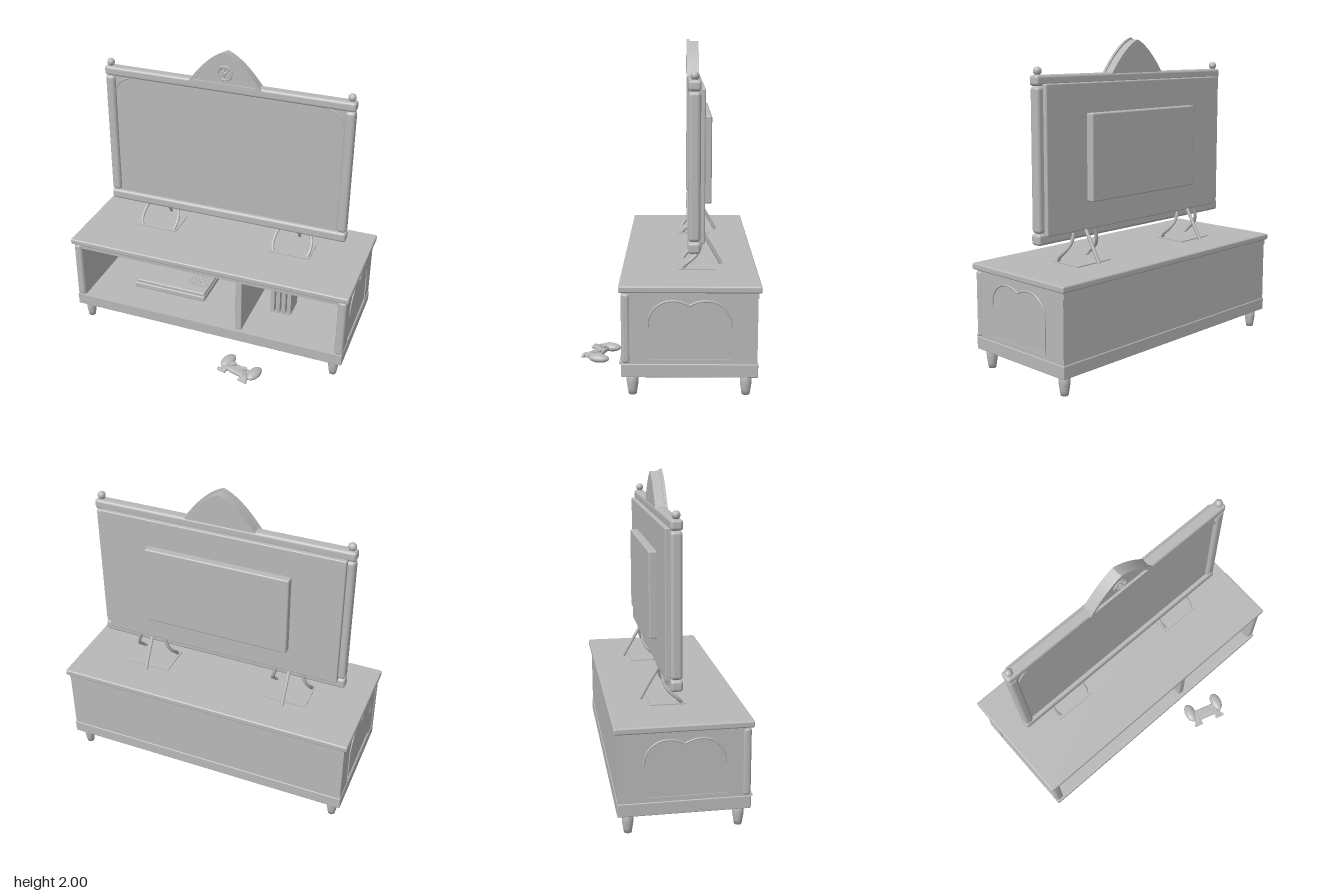
import * as THREE from 'three';
import { RoundedBoxGeometry } from 'three/addons/geometries/RoundedBoxGeometry.js';

const grey = new THREE.MeshStandardMaterial({ color: 0xb8b8b8 });
grey.name = 'grey';

const V = (x, y, z) => new THREE.Vector3(x, y, z);

function add(parent, name, geometry, x = 0, y = 0, z = 0) {
  const mesh = new THREE.Mesh(geometry, grey);
  mesh.name = name;
  mesh.position.set(x, y, z);
  parent.add(mesh);
  return mesh;
}

// Box given by its limits on each axis, optionally with rounded edges
function box(parent, name, [x0, x1], [y0, y1], [z0, z1], r = 0) {
  const s = [x1 - x0, y1 - y0, z1 - z0];
  const g = r ? new RoundedBoxGeometry(...s, 3, r) : new THREE.BoxGeometry(...s);
  return add(parent, name, g, (x0 + x1) / 2, (y0 + y1) / 2, (z0 + z1) / 2);
}

function tube(parent, name, points, r, segments = 24) {
  return add(parent, name, new THREE.TubeGeometry(new THREE.CatmullRomCurve3(points), segments, r, 8));
}

function lathe(points) {
  return new THREE.LatheGeometry(points.map(p => new THREE.Vector2(...p)), 20);
}

function group(parent, name) {
  const g = new THREE.Group();
  g.name = name;
  parent.add(g);
  return g;
}

function buildCabinet(root) {
  const c = group(root, 'cabinet');
  box(c, 'cabinetTop', [-0.97, 0.97], [0.62, 0.66], [-0.54, 0.265], 0.01);
  box(c, 'cabinetCeiling', [-0.95, 0.95], [0.585, 0.62], [-0.525, 0.24]);
  box(c, 'cabinetBase', [-0.955, 0.955], [0.12, 0.2], [-0.525, 0.252], 0.006);
  box(c, 'baseTrim', [-0.95, 0.95], [0.196, 0.206], [0.24, 0.262]);
  box(c, 'cabinetBack', [-0.95, 0.95], [0.195, 0.62], [-0.52, -0.5]);
  box(c, 'divider', [0.215, 0.26], [0.2, 0.585], [-0.5, 0.235], 0.006);

  const leg = lathe([[0, 0], [0.023, 0], [0.028, 0.03], [0.034, 0.07], [0.034, 0.1], [0.026, 0.122], [0, 0.122]]);
  for (const s of [-1, 1]) {
    const lim = (a, b) => [Math.min(s * a, s * b), Math.max(s * a, s * b)];
    box(c, 'sidePanel', lim(0.9, 0.95), [0.19, 0.62], [-0.52, 0.235]);
    box(c, 'frontPilaster', lim(0.9, 0.957), [0.2, 0.615], [0.2, 0.252], 0.02);
    for (const z of [0.19, -0.46]) add(c, 'foot', leg, s * 0.89, 0, z);

    // Double arch moulding on the side
    const x = s * 0.951;
    const half = d => [[0.235, 0.42], [0.228, 0.475], [0.195, 0.53], [0.14, 0.564], [0.08, 0.57], [0.03, 0.558], [0, 0.543]]
      .map(([z, y]) => V(x, y, -0.135 + d * z));
    tube(c, 'sideArch', half(1), 0.006);
    tube(c, 'sideArch', half(-1), 0.006);
    box(c, 'sideMoulding', lim(0.945, 0.956), [0.225, 0.42], [-0.374, -0.368]);
    box(c, 'sideMoulding', lim(0.945, 0.956), [0.222, 0.23], [-0.374, 0.105]);
  }
}

function buildShelfItems(root) {
  // Game console with a stepped lid and vents
  const k = group(root, 'console');
  box(k, 'consoleBody', [-0.615, -0.085], [0.2, 0.24], [-0.3, 0.03], 0.008);
  box(k, 'consoleLid', [-0.6, -0.09], [0.235, 0.263], [-0.295, 0.02], 0.008);
  box(k, 'discSlot', [-0.55, -0.4], [0.215, 0.22], [0.028, 0.034]);
  for (let i = 0; i < 6; i++) for (let j = 0; j < 9; j++) {
    const x = -0.25 + i * 0.025, z = -0.27 + j * 0.025;
    box(k, 'vent', [x, x + 0.014], [0.262, 0.267], [z, z + 0.014]);
  }
  // Upright cases
  const cases = group(root, 'cases');
  for (let i = 0; i < 4; i++) {
    const x = 0.375 + i * 0.039;
    box(cases, 'case', [x, x + 0.027], [0.2, 0.4], [-0.2, -0.04]);
  }
}

function pedimentShape(w, y0, y1) {
  const s = new THREE.Shape();
  s.moveTo(-w, y0);
  s.lineTo(w, y0);
  s.quadraticCurveTo(w * 0.47, y1 - 0.04, 0, y1);
  s.quadraticCurveTo(-w * 0.47, y1 - 0.04, -w, y0);
  return s;
}

function buildTelevision(root) {
  const t = group(root, 'television');
  box(t, 'screen', [-0.79, 0.79], [0.86, 1.74], [-0.222, -0.15], 0.008);
  box(t, 'rearHousing', [-0.47, 0.47], [1.03, 1.56], [-0.27, -0.215], 0.01);
  box(t, 'topRail', [-0.835, 0.835], [1.728, 1.79], [-0.197, -0.125], 0.018);
  box(t, 'bottomRail', [-0.835, 0.835], [0.808, 0.876], [-0.197, -0.125], 0.018);
  const finial = lathe([[0.012, 0], [0.018, 0.004], [0.01, 0.01], [0.016, 0.014]]);
  for (const s of [-1, 1]) {
    add(t, 'sidePost', new RoundedBoxGeometry(0.064, 0.85, 0.07, 4, 0.022), s * 0.801, 1.302, -0.161);
    add(t, 'finialNeck', finial, s * 0.8, 1.786, -0.161);
    add(t, 'finialBall', new THREE.SphereGeometry(0.025, 20, 14), s * 0.8, 1.812, -0.161);
    // Corner bracket
    tube(t, 'cornerArc', [[0.785, 1.555], [0.772, 1.62], [0.735, 1.685], [0.675, 1.722], [0.6, 1.737]]
      .map(([x, y]) => V(s * x, y, -0.14)), 0.005);
  }

  // Pointed pediment with raised border
  const p = group(t, 'pediment');
  add(p, 'pedimentBody', new THREE.ExtrudeGeometry(pedimentShape(0.228, 1.785, 1.988),
    { depth: 0.06, bevelEnabled: false, curveSegments: 16 }), 0, 0, -0.195);
  const border = pedimentShape(0.242, 1.778, 2);
  border.holes.push(pedimentShape(0.205, 1.79, 1.978));
  add(p, 'pedimentBorder', new THREE.ExtrudeGeometry(border,
    { depth: 0.018, bevelEnabled: false, curveSegments: 16 }), 0, 0, -0.137);

  // Round rosette
  const r = group(p, 'rosette');
  r.position.set(0, 1.858, -0.133);
  add(r, 'rosetteRing', new THREE.TorusGeometry(0.045, 0.006, 8, 32));
  add(r, 'rosetteHub', new THREE.SphereGeometry(0.012, 12, 8));
  for (let i = 0; i < 6; i++) {
    const a = i * Math.PI / 3;
    const petal = add(r, 'rosettePetal', new THREE.TorusGeometry(0.013, 0.003, 6, 16),
      Math.cos(a) * 0.026, Math.sin(a) * 0.026, 0);
    petal.rotation.z = a;
    petal.scale.y = 0.75;
  }
}

function buildStand(root, cx) {
  const s = group(root, 'stand');
  s.position.x = cx;
  box(s, 'standPlate', [-0.14, 0.14], [0.657, 0.666], [-0.288, -0.072]);
  for (const d of [-1, 1]) {
    tube(s, 'curvedLeg', [[0.117, 0.664, -0.095], [0.128, 0.695, -0.12], [0.125, 0.74, -0.17],
      [0.108, 0.785, -0.198], [0.09, 0.85, -0.208]].map(([x, y, z]) => V(d * x, y, z)), 0.011);
  }
  tube(s, 'rearProp', [V(0, 0.662, -0.33), V(0, 0.76, -0.275), V(0, 0.86, -0.215)], 0.011, 8);
}

function buildController(root) {
  const c = group(root, 'controller');
  c.position.set(0.315, 0.034, 0.42);
  c.rotation.y = -0.3;
  box(c, 'controllerBody', [-0.09, 0.09], [-0.016, 0.016], [-0.025, 0.055], 0.014);
  for (const s of [-1, 1]) {
    add(c, 'grip', new THREE.SphereGeometry(1, 24, 16), s * 0.106, 0, -0.025).scale.set(0.039, 0.027, 0.068);
    box(c, 'trigger', [s * 0.085 - 0.032, s * 0.085 + 0.032], [-0.008, 0.01], [0.07, 0.09], 0.006);
    box(c, 'shoulder', [s * 0.08 - 0.025, s * 0.08 + 0.025], [-0.01, 0.012], [0.04, 0.072], 0.008);
    add(c, 'stickCap', new THREE.CylinderGeometry(0.018, 0.016, 0.012, 20), s * 0.042, 0.022, 0);
  }
  // Face buttons and direction pad
  for (let i = 0; i < 4; i++) {
    const a = i * Math.PI / 2;
    add(c, 'button', new THREE.CylinderGeometry(0.006, 0.006, 0.008, 12),
      0.068 + Math.cos(a) * 0.013, 0.019, 0.032 + Math.sin(a) * 0.013);
  }
  box(c, 'directionPad', [-0.084, -0.052], [0.014, 0.022], [0.027, 0.037]);
  box(c, 'directionPad', [-0.073, -0.063], [0.014, 0.022], [0.016, 0.048]);
}

export function createModel() {
  const root = new THREE.Group();
  root.name = 'televisionAndCabinet';
  buildCabinet(root);
  buildShelfItems(root);
  buildTelevision(root);
  for (const x of [-0.478, 0.478]) buildStand(root, x);
  buildController(root);
  return root;
}
